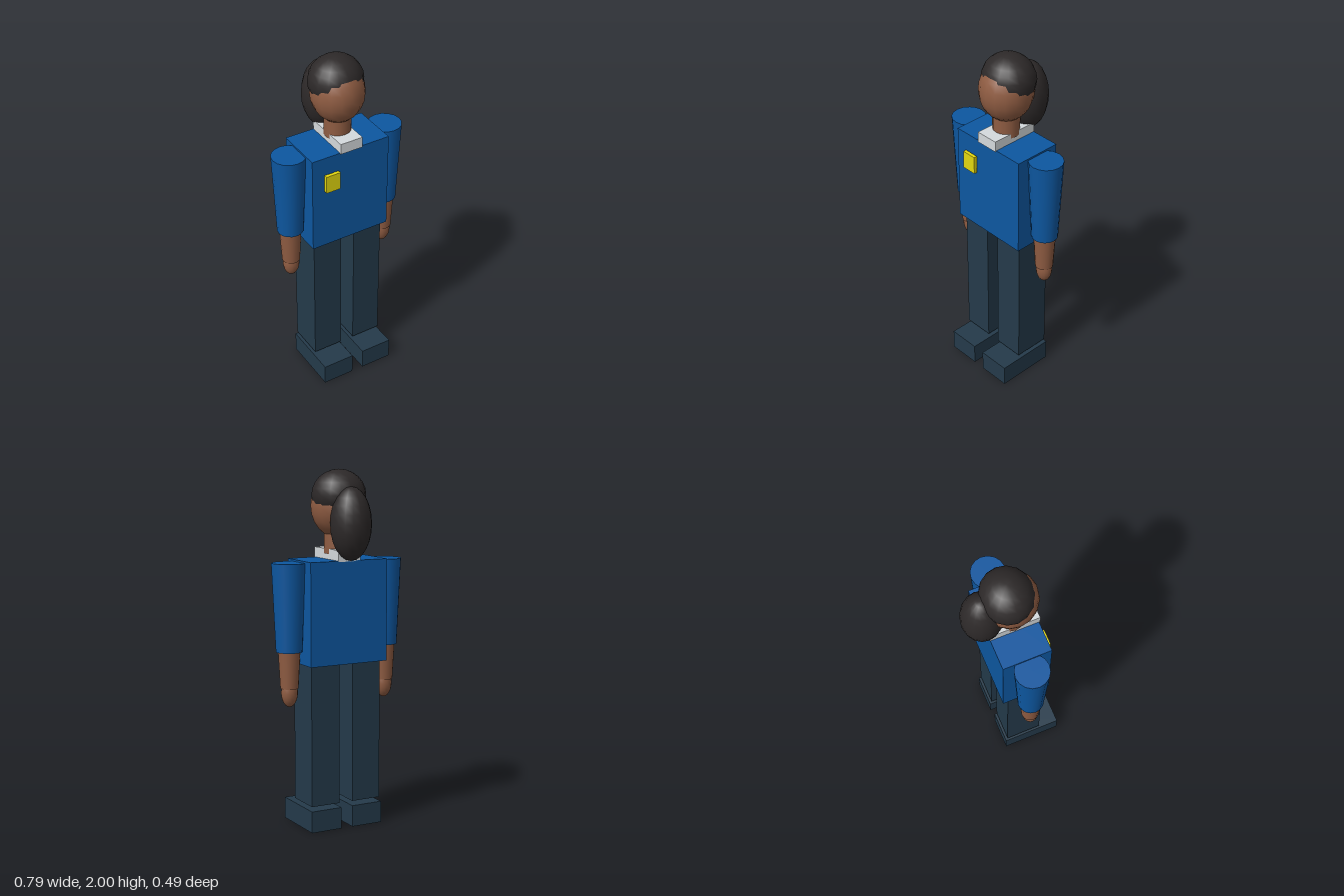
import * as THREE from 'three';

const material = (color) => new THREE.MeshStandardMaterial({ color });

export function createModel() {
  const model = new THREE.Group();
  model.name = 'standingFigure';

  const skin = material(0x8f5c42);
  const hair = material(0x2d2929);
  const shirt = material(0x0d57a0);
  const trousers = material(0x243a4a);
  const white = material(0xd5dadd);
  const yellow = material(0xe3d80f);

  const add = (name, geometry, mat, x, y, z, parent = model) => {
    const mesh = new THREE.Mesh(geometry, mat);
    mesh.name = name;
    mesh.position.set(x, y, z);
    parent.add(mesh);
    return mesh;
  };

  // Box given by its minimum and maximum corners
  const box = (name, mat, [x0, y0, z0], [x1, y1, z1], parent) =>
    add(name, new THREE.BoxGeometry(x1 - x0, y1 - y0, z1 - z0), mat,
      (x0 + x1) / 2, (y0 + y1) / 2, (z0 + z1) / 2, parent);

  // Ellipsoid given by its centre and three radii
  const ellipsoid = (name, mat, [x, y, z], [rx, ry, rz], parent) =>
    add(name, new THREE.SphereGeometry(1, 16, 12).scale(rx, ry, rz), mat, x, y, z, parent);

  // Upright tapered cylinder between two heights
  const taper = (name, mat, x, z, y0, y1, rBottom, rTop, parent) =>
    add(name, new THREE.CylinderGeometry(rTop, rBottom, y1 - y0, 16), mat, x, (y0 + y1) / 2, z, parent);

  // Torso, collar and chest badge
  box('torso', shirt, [-0.237, 0.94, -0.117], [0.237, 1.51, 0.157]);
  box('collar', white, [-0.067, 1.505, -0.117], [0.067, 1.567, 0.163]);
  box('badge', yellow, [-0.166, 1.303, 0.163], [-0.08, 1.407, 0.183]);

  // Head: the hair cap overlaps the skull to form the hairline
  taper('neck', skin, 0, 0.022, 1.54, 1.72, 0.074, 0.074);
  ellipsoid('head', skin, [0, 1.8, 0.02], [0.147, 0.175, 0.15]);
  ellipsoid('hairCap', hair, [0, 1.86, 0.003], [0.152, 0.14, 0.143]);
  ellipsoid('ponytail', hair, [0, 1.71, -0.134], [0.114, 0.2, 0.113]);

  for (const [side, s] of [['left', 1], ['right', -1]]) {
    // Arm: sleeve, forearm, hand
    const arm = new THREE.Group();
    arm.name = side + 'Arm';
    arm.position.set(0.3 * s, 0, 0.02);
    model.add(arm);
    taper('sleeve', shirt, 0, 0, 1.013, 1.5, 0.073, 0.095, arm);
    taper('forearm', skin, 0, 0, 0.81, 1.03, 0.05, 0.062, arm);
    ellipsoid('hand', skin, [0, 0.785, 0], [0.047, 0.08, 0.043], arm);

    // Leg and separate shoe block
    const leg = new THREE.Group();
    leg.name = side + 'Leg';
    leg.position.x = 0.128 * s;
    model.add(leg);
    box('trouserLeg', trousers, [-0.087, 0.146, -0.08], [0.087, 0.96, 0.128], leg);
    box('shoe', trousers, [-0.093, 0, -0.092], [0.093, 0.122, 0.247], leg);
  }

  return model;
}
